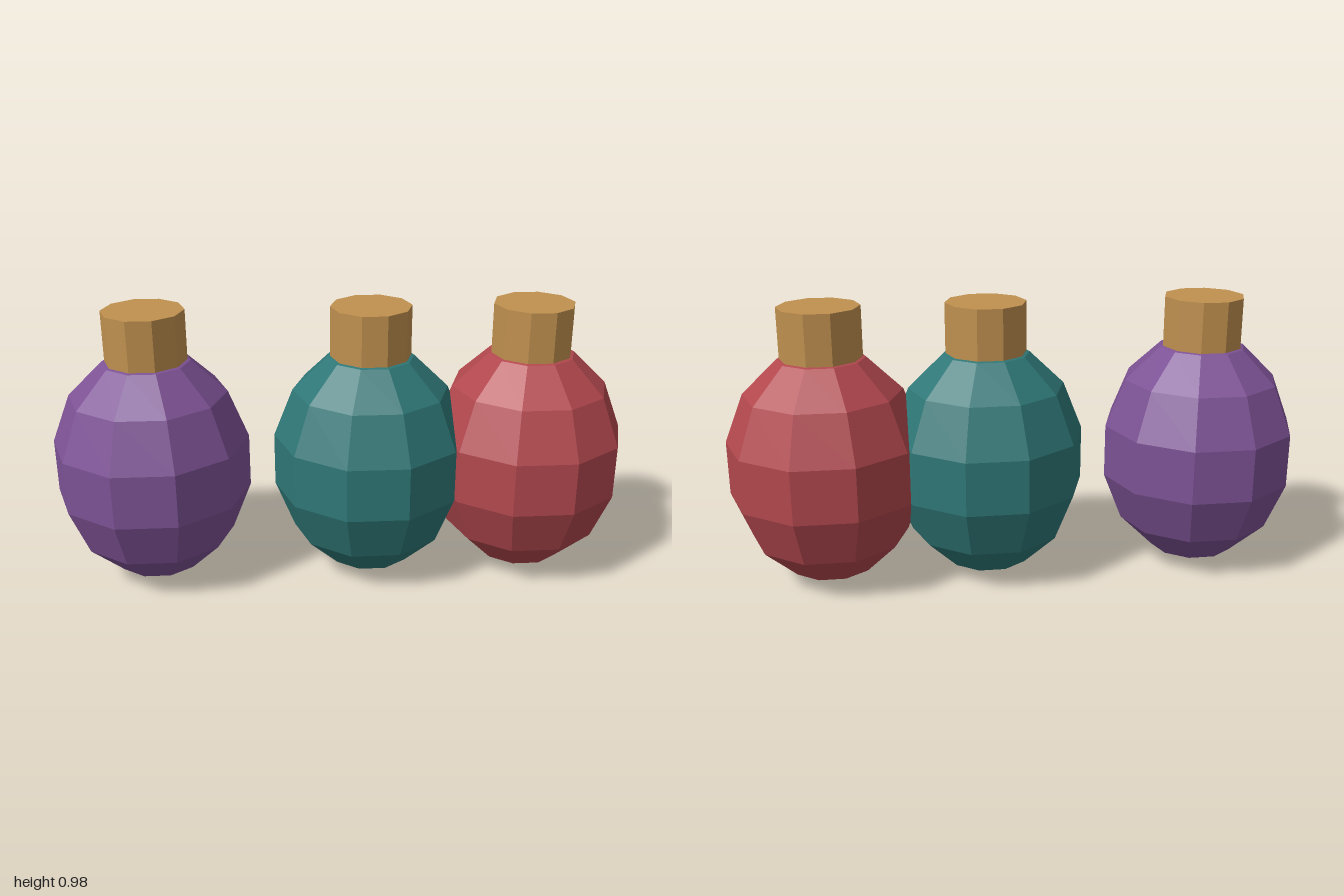
import * as THREE from 'three';

const paint = (name, color) => {
  const m = new THREE.MeshStandardMaterial({ color, flatShading: true });
  m.name = name;
  return m;
};

export function createModel() {
  const model = new THREE.Group();
  model.name = 'ornaments';
  const gold = paint('gold', 0xc0904f);

  // Faceted egg-shaped bulb and ten-sided cap, shared by all ornaments
  const bulbGeometry = new THREE.SphereGeometry(1, 10, 7);
  bulbGeometry.scale(0.347, 0.42, 0.347);
  bulbGeometry.translate(0, 0.42, 0);
  const capGeometry = new THREE.CylinderGeometry(0.14, 0.14, 0.181, 10);
  capGeometry.rotateY(Math.PI / 2);
  capGeometry.translate(0, 0.886, 0);

  const ornaments = [
    ['purple', 0x7d5295, -0.662],
    ['teal', 0x2f7777, 0.103],
    ['red', 0xb2484e, 0.662],
  ];
  for (const [name, color, x] of ornaments) {
    const ornament = new THREE.Group();
    ornament.name = `${name}Ornament`;
    ornament.position.x = x;
    const bulb = new THREE.Mesh(bulbGeometry, paint(name, color));
    bulb.name = `${name}Bulb`;
    const cap = new THREE.Mesh(capGeometry, gold);
    cap.name = `${name}Cap`;
    ornament.add(bulb, cap);
    model.add(ornament);
  }
  return model;
}
